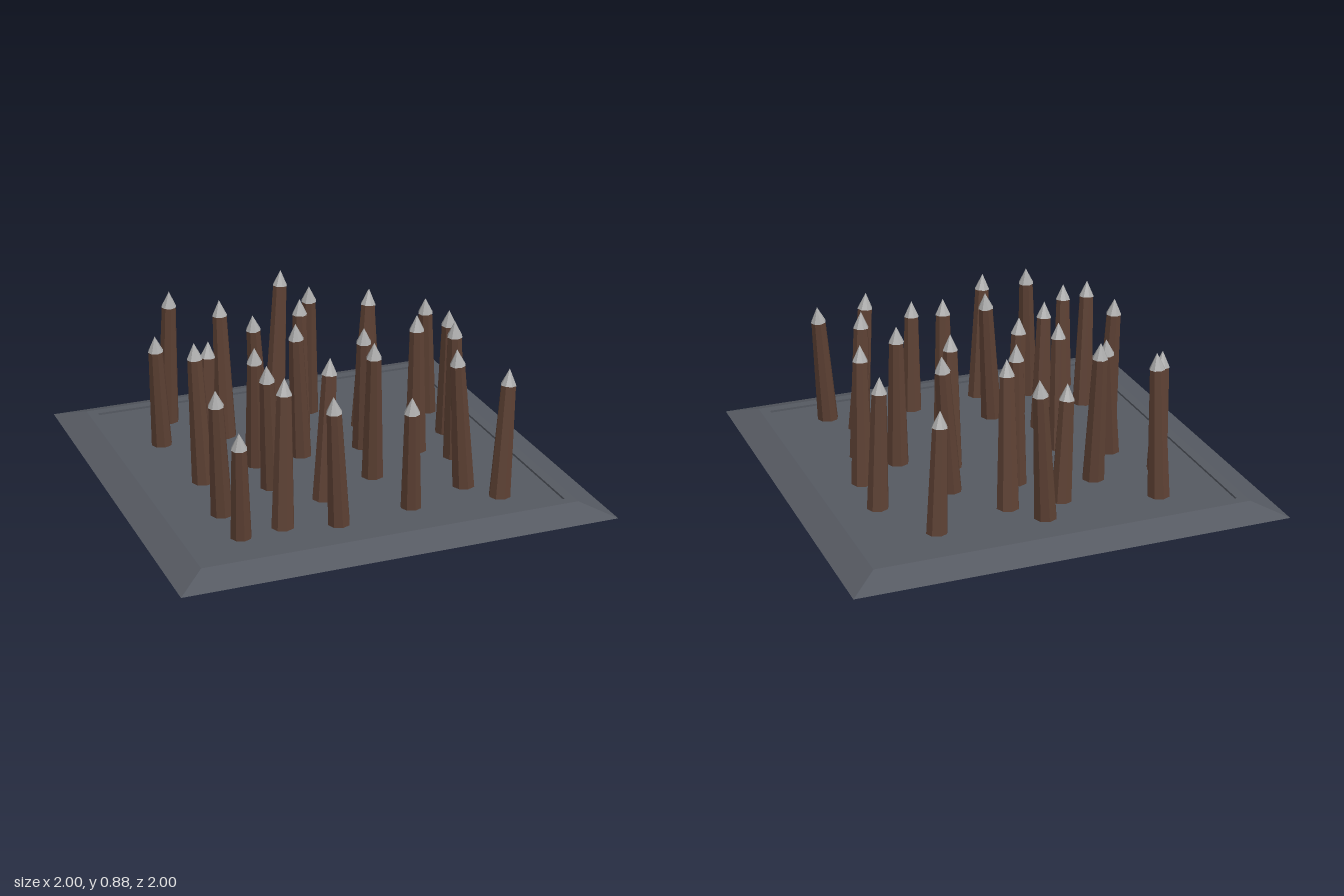
import * as THREE from 'three';

// Each stake: tip x, tip z, tip height, x and z where it meets the plate
const STAKES = [
  [-0.52, -0.61, 0.86, -0.53, -0.65],
  [0.065, -0.70, 0.86, 0.02, -0.67],
  [0.47, -0.59, 0.74, 0.505, -0.63],
  [-0.15, -0.50, 0.73, -0.11, -0.54],
  [0.11, -0.44, 0.86, 0.135, -0.52],
  [-0.34, -0.42, 0.86, -0.33, -0.39],
  [-0.67, -0.36, 0.75, -0.64, -0.40],
  [0.01, -0.30, 0.86, 0.01, -0.30],
  [0.36, -0.31, 0.86, 0.31, -0.27],
  [0.63, -0.27, 0.79, 0.665, -0.315],
  [-0.475, -0.18, 0.765, -0.515, -0.15],
  [-0.33, 0.03, 0.79, -0.31, -0.03],
  [-0.12, -0.01, 0.86, -0.08, -0.055],
  [0.195, 0.03, 0.81, 0.22, -0.04],
  [0.625, 0.01, 0.83, 0.65, -0.055],
  [-0.615, 0.045, 0.86, -0.59, 0.055],
  [0.43, 0.085, 0.86, 0.435, 0.085],
  [-0.36, 0.27, 0.80, -0.325, 0.22],
  [0.12, 0.33, 0.86, 0.14, 0.275],
  [0.535, 0.265, 0.88, 0.57, 0.215],
  [-0.655, 0.45, 0.80, -0.62, 0.40],
  [-0.105, 0.375, 0.84, -0.15, 0.41],
  [-0.385, 0.56, 0.86, -0.415, 0.61],
  [0.425, 0.53, 0.86, 0.48, 0.515],
  [-0.635, 0.69, 0.70, -0.615, 0.64],
  [-0.22, 0.705, 0.805, -0.18, 0.67],
  [0.155, 0.67, 0.73, 0.175, 0.63],
  [0.63, 0.635, 0.78, 0.585, 0.67],
];

const PLATE_TOP = 0.195;
const LENGTH = 0.70;
const TIP = 0.075;
const SIDES = 8;

export function createModel() {
  const model = new THREE.Group();
  const material = (color) => new THREE.MeshStandardMaterial({ color, flatShading: true });
  const wood = material(0x5c4033);
  const metal = material(0xaaaaaa);

  // Square plate with bevelled border and a shallow recess, as a four-sided lathe
  const profile = [[0, 0.158], [1, 0.158], [0.87, 0.205], [0.826, 0.205], [0.826, PLATE_TOP], [0, PLATE_TOP]]
    .map(([half, y]) => new THREE.Vector2(half * Math.SQRT2, y));
  const plate = new THREE.Mesh(new THREE.LatheGeometry(profile, 4, Math.PI / 4), material(0x555961));
  plate.name = 'basePlate';
  model.add(plate);

  // Shared stake parts with the apex at the origin, pointing up
  const shaftGeometry = new THREE.CylinderGeometry(0.034, 0.053, LENGTH - TIP, SIDES)
    .translate(0, -TIP - (LENGTH - TIP) / 2, 0);
  const tipGeometry = new THREE.ConeGeometry(0.036, TIP, SIDES).translate(0, -TIP / 2, 0);
  const up = new THREE.Vector3(0, 1, 0);

  for (const [x, z, y, baseX, baseZ] of STAKES) {
    const stake = new THREE.Group();
    stake.name = 'stake';
    const shaft = new THREE.Mesh(shaftGeometry, wood);
    shaft.name = 'stakeShaft';
    const tip = new THREE.Mesh(tipGeometry, metal);
    tip.name = 'stakeTip';
    stake.add(shaft, tip);
    // Lean the stake from its foot towards its tip
    const lean = new THREE.Vector3(x - baseX, y - PLATE_TOP, z - baseZ).normalize();
    stake.quaternion.setFromUnitVectors(up, lean);
    stake.position.set(x, y, z);
    model.add(stake);
  }
  return model;
}
